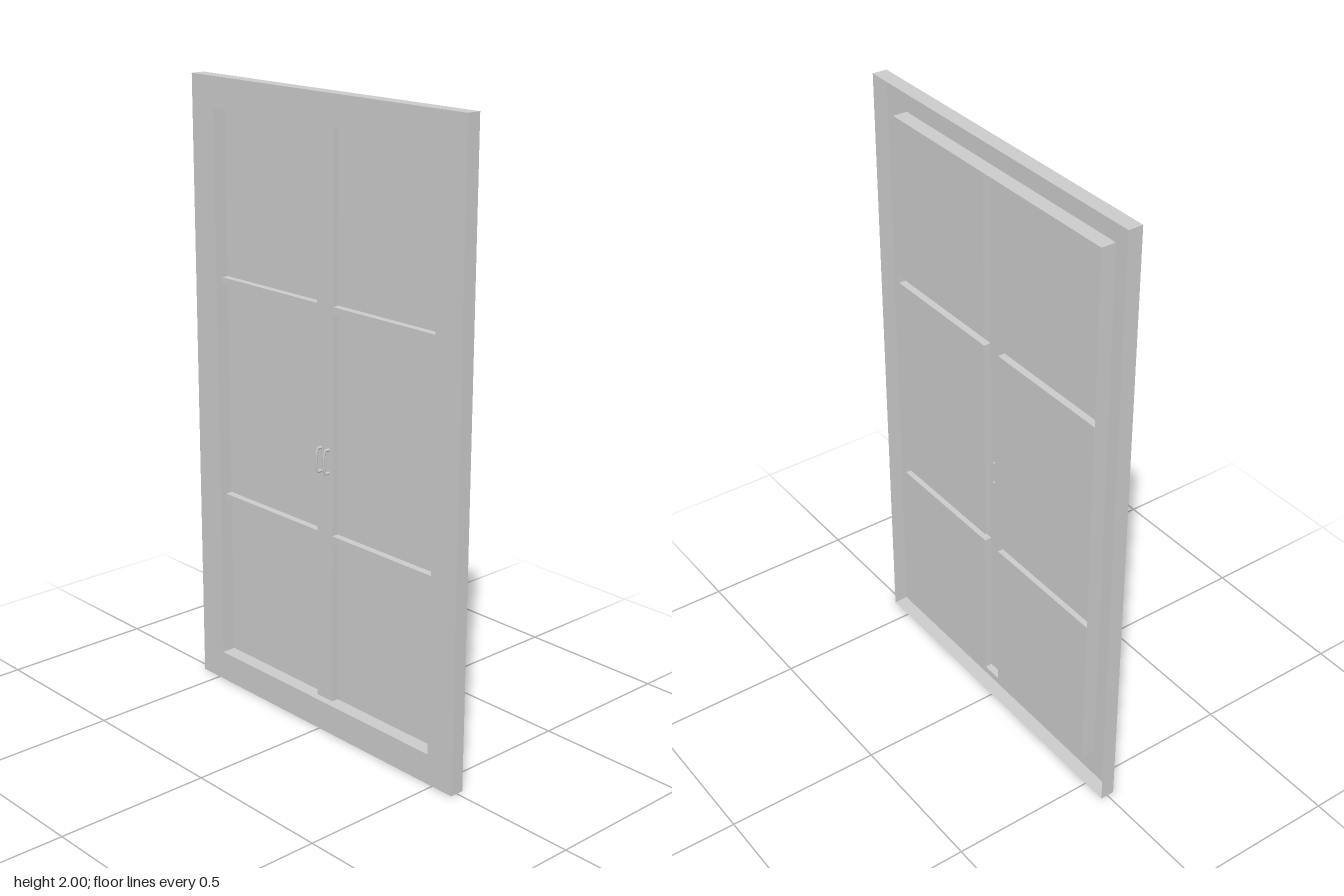
import * as THREE from 'three';

const material = new THREE.MeshStandardMaterial({ color: 0xcccccc, side: THREE.DoubleSide, flatShading: true });
const smooth = new THREE.MeshStandardMaterial({ color: 0xcccccc });

const W = 0.58, H = 2;                             // outer frame
const OX = 0.479, OY0 = 0.098, OY1 = 1.905;        // opening
const SX = 0.034;                                  // half width of the centre stile
const BARS = [[0.63, 0.655], [1.35, 1.375]];       // bottom and top of each cross bar
const FRONT = 0.0235, MID = 0, BACK = -0.0235;     // depth levels

function add(parent, name, geometry, mat = material) {
  const mesh = new THREE.Mesh(geometry, mat);
  mesh.name = name;
  parent.add(mesh);
  return mesh;
}

// Flat rectangle facing the front
function panel(parent, name, x0, x1, y0, y1, z) {
  const mesh = add(parent, name, new THREE.PlaneGeometry(Math.abs(x1 - x0), y1 - y0));
  mesh.position.set((x0 + x1) / 2, (y0 + y1) / 2, z);
}

// Thin wall following a path, running from depth z0 to z1
function wall(parent, name, path, z0, z1) {
  const pos = [];
  for (let i = 0; i < path.length - 1; i++) {
    const [a, b] = path[i], [c, d] = path[i + 1];
    pos.push(a, b, z0, a, b, z1, c, d, z1, a, b, z0, c, d, z1, c, d, z0);
  }
  const geometry = new THREE.BufferGeometry();
  geometry.setAttribute('position', new THREE.Float32BufferAttribute(pos, 3));
  geometry.computeVertexNormals();
  add(parent, name, geometry);
}

const rect = (x, y0, y1) => [[-x, y0], [-x, y1], [x, y1], [x, y0], [-x, y0]];

export function createModel() {
  const model = new THREE.Group();
  model.name = 'panelledDoubleDoor';

  // Hollow outer frame, open at the back
  const frame = new THREE.Group();
  frame.name = 'frame';
  model.add(frame);
  const face = new THREE.Shape(rect(W, 0, H).map(p => new THREE.Vector2(...p)));
  face.holes.push(new THREE.Path(rect(OX, OY0, OY1).map(p => new THREE.Vector2(...p))));
  add(frame, 'frameFace', new THREE.ShapeGeometry(face)).position.z = FRONT;
  wall(frame, 'frameOuterWall', rect(W, 0, H), FRONT, BACK);
  wall(frame, 'frameInnerWall', rect(OX, OY0, OY1), FRONT, BACK);

  // Centre stile, set back from the frame
  panel(model, 'centreStile', -SX, SX, OY0, OY1, MID);

  for (const s of [-1, 1]) {
    const leaf = new THREE.Group();
    leaf.name = s > 0 ? 'leftLeaf' : 'rightLeaf';
    model.add(leaf);
    const i = s * SX, o = s * OX;

    // Cross bars
    for (const [y0, y1] of BARS) panel(leaf, 'crossBar', i, o, y0, y1, MID);

    // Recessed panes and the walls around them
    const [[a, b], [c, d]] = BARS;
    for (const [y0, y1] of [[OY0, a], [b, c], [d, OY1]]) panel(leaf, 'pane', i, o, y0, y1, BACK);
    wall(leaf, 'lowerPaneWall', [[i, OY0], [i, a], [o, a]], MID, BACK);
    wall(leaf, 'middlePaneWall', [[o, b], [i, b], [i, c], [o, c]], MID, BACK);
    wall(leaf, 'upperPaneWall', [[o, d], [i, d], [i, OY1]], MID, BACK);

    // Pull handle: bowed grip on two posts that pass through the stile
    const handle = new THREE.Group();
    handle.name = 'handle';
    handle.position.set(s * 0.017, 0.892, 0);
    leaf.add(handle);
    const curve = new THREE.CatmullRomCurve3(
      [[-0.041, 0.013], [-0.025, 0.018], [0, 0.0195], [0.025, 0.018], [0.041, 0.013]]
        .map(([y, z]) => new THREE.Vector3(0, y, z)));
    add(handle, 'grip', new THREE.TubeGeometry(curve, 16, 0.0035, 10), smooth);
    for (const y of [-0.037, 0.037]) {
      const post = add(handle, 'post', new THREE.CylinderGeometry(0.005, 0.005, 0.021, 12), smooth);
      post.rotation.x = Math.PI / 2;
      post.position.set(0, y, 0.0055);
    }
  }
  return model;
}
